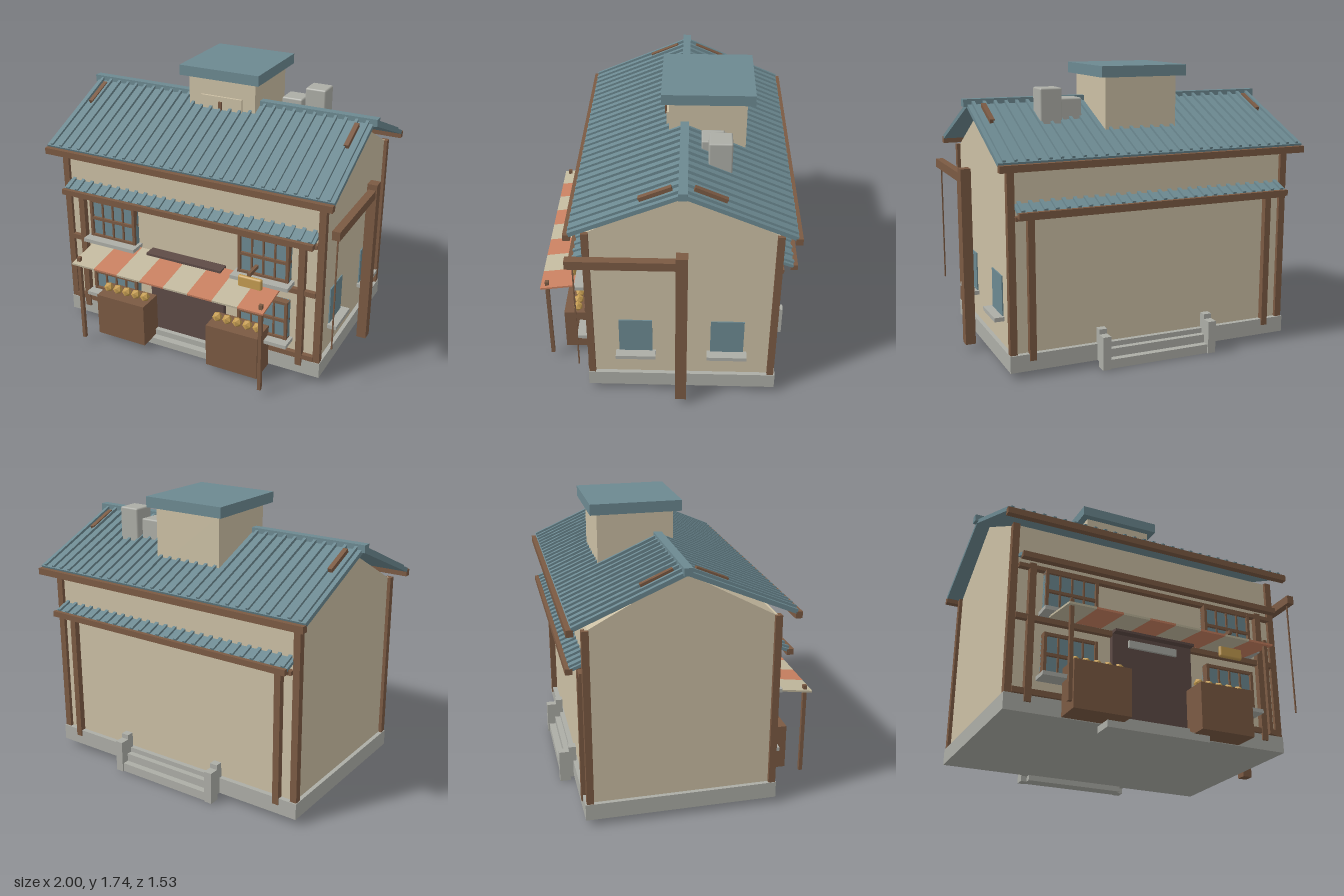
import * as THREE from 'three';
import { RoundedBoxGeometry } from 'three/addons/geometries/RoundedBoxGeometry.js';

const paint = (name, color) => {
  const m = new THREE.MeshStandardMaterial({ color });
  m.name = name;
  return m;
};

export function createModel() {
  const wall = paint('plaster', 0xcbbfa4);
  const wood = paint('wood', 0x7b5a43);
  const blue = paint('slateBlue', 0x6c8991);
  const stone = paint('stone', 0xacada6);
  const dark = paint('doorBrown', 0x5e4b46);
  const cream = paint('awningCream', 0xc2b99e);
  const coral = paint('awningCoral', 0xc88060);
  const gold = paint('gold', 0xc39b50);

  const model = new THREE.Group();
  model.name = 'shopHouse';
  const CX = -0.02, CZ = -0.105; // centre of the house

  const add = (name, geo, mat, parent = model) => {
    const mesh = new THREE.Mesh(geo, mat);
    mesh.name = name;
    parent.add(mesh);
    return mesh;
  };
  // Box given by its limits on each axis
  const box = (name, mat, x0, x1, y0, y1, z0, z1, parent = model) => {
    const mesh = add(name, new THREE.BoxGeometry(x1 - x0, y1 - y0, z1 - z0), mat, parent);
    mesh.position.set((x0 + x1) / 2, (y0 + y1) / 2, (z0 + z1) / 2);
    return mesh;
  };
  // Bar of width w and thickness t between two points of the y-z plane
  const slope = (name, mat, x, w, t, ya, za, yb, zb, parent = model) => {
    const mesh = add(name, new THREE.BoxGeometry(w, t, Math.hypot(yb - ya, zb - za)), mat, parent);
    mesh.position.set(x, (ya + yb) / 2, (za + zb) / 2);
    mesh.rotation.x = Math.atan2(ya - yb, zb - za);
    return mesh;
  };
  const group = (name) => {
    const g = new THREE.Group();
    g.name = name;
    model.add(g);
    return g;
  };

  // Foundation and walls
  box('foundation', stone, -0.92, 0.88, 0.04, 0.14, -0.68, 0.465);
  box('walls', wall, -0.895, 0.855, 0.13, 1.2, -0.65, 0.44);
  const gable = new THREE.Shape([[-0.53, 0], [0.53, 0], [0, 0.285]].map(p => new THREE.Vector2(...p)));
  const gables = add('gables', new THREE.ExtrudeGeometry(gable, { depth: 1.75, bevelEnabled: false }), wall);
  gables.rotation.y = Math.PI / 2;
  gables.position.set(-0.895, 1.2, CZ);

  // Front and back halves: posts, main roof and lower eave
  for (const s of [1, -1]) {
    const z = d => CZ + s * d;
    const side = s > 0 ? 'front' : 'back';
    const bar = (name, x0, x1, y0, y1, a, b, parent) =>
      box(name, wood, x0, x1, y0, y1, Math.min(z(a), z(b)), Math.max(z(a), z(b)), parent);

    const frame = group(side + 'Timber');
    for (const m of [-1, 1]) {
      const xc = CX + m * 0.875, xi = CX + m * 0.765;
      bar('cornerPost', xc - 0.021, xc + 0.021, 0.14, 1.2, 0.525, 0.566, frame);
      bar('eavePost', xi - 0.02, xi + 0.02, 0.1, 0.95, 0.545, 0.582, frame);
    }
    bar('eaveHeader', -0.87, 0.835, 0.915, 0.94, 0.545, 0.58, frame);
    bar('eaveFascia', -0.875, 0.835, 0.94, 0.975, 0.615, 0.655, frame);
    bar('roofFascia', -0.98, 0.94, 1.2, 1.24, 0.615, 0.655, frame);

    const roof = group(side + 'Roof');
    slope('roofSlab', blue, CX, 1.92, 0.026, 1.505, CZ, 1.24, z(0.625), roof);
    for (let i = 0; i < 29; i++)
      slope('roofRib', blue, -0.945 + i * 0.0661, 0.018, 0.024, 1.526, CZ, 1.255, z(0.625), roof);
    const eave = group(side + 'Eave');
    slope('eaveSlab', blue, CX, 1.71, 0.018, 1.0, z(0.54), 0.965, z(0.63), eave);
    for (let i = 0; i < 26; i++)
      slope('eaveRib', blue, -0.846 + i * 0.0661, 0.022, 0.024, 1.012, z(0.54), 0.975, z(0.63), eave);

    // Short timbers lying on the roof near its ends
    for (const x of [-0.9, 0.855])
      slope('roofTimber', wood, x, 0.028, 0.03, 1.504, z(0.06), 1.427, z(0.24), roof);
  }
  box('ridge', blue, -1.0, 0.965, 1.495, 1.54, -0.13, -0.08);

  // Rooftop tower
  box('tower', wall, -0.245, 0.21, 1.3, 1.67, -0.47, -0.01);
  box('towerCap', blue, -0.29, 0.25, 1.67, 1.735, -0.515, 0.035);
  box('towerPanel', wall, -0.16, 0.125, 1.455, 1.555, -0.01, 0.005);
  box('towerLatch', wood, -0.03, -0.01, 1.455, 1.525, 0.003, 0.02);

  // Roof units
  const units = [[0.51, -0.31, 1.61], [0.373, -0.27, 1.545]];
  for (const [x, z, top] of units)
    add('roofUnit', new RoundedBoxGeometry(0.135, 0.24, 0.135, 1, 0.01), stone).position.set(x, top - 0.12, z);

  // Front beams
  box('middleBeam', wood, -0.875, 0.835, 0.59, 0.622, 0.44, 0.47);
  for (const [a, b] of [[-0.875, -0.28], [0.24, 0.835]]) box('sillBeam', wood, a, b, 0.145, 0.178, 0.44, 0.47);

  // Front windows with frames, bars and ledges
  for (const x of [-0.545, 0.505]) for (const y of [0.26, 0.655]) {
    const win = group('frontWindow');
    const w = 0.165, h = 0.263;
    box('pane', blue, x - w, x + w, y, y + h, 0.44, 0.474, win);
    for (const m of [-1, 1])
      box('frameSide', wood, x + m * 0.156 - 0.009, x + m * 0.156 + 0.009, y, y + h, 0.44, 0.492, win);
    for (const d of [0, h / 2 - 0.009, h - 0.018])
      box('frameBar', wood, x - w, x + w, y + d, y + d + 0.018, 0.44, 0.49, win);
    for (const d of [-0.075, 0, 0.075])
      box('windowBar', wood, x + d - 0.005, x + d + 0.005, y, y + h, 0.44, 0.486, win);
    box('ledge', stone, x - 0.187, x + 0.187, y - 0.02, y + 0.004, 0.44, 0.55, win);
  }

  // Side windows
  for (const z of [0.17, -0.378]) {
    box('sidePane', blue, 0.854, 0.862, 0.3, 0.555, z - 0.1, z + 0.1);
    box('sideLedge', stone, 0.85, 0.915, 0.29, 0.315, z - 0.12, z + 0.12);
  }

  // Door and front steps
  box('door', dark, -0.28, 0.24, 0.08, 0.62, 0.44, 0.474);
  box('doorLintel', dark, -0.28, 0.24, 0.605, 0.647, 0.44, 0.52);
  box('doorPlate', stone, -0.18, 0.135, 0.53, 0.575, 0.472, 0.49);
  box('lowerStep', stone, -0.345, 0.305, 0, 0.045, 0.42, 0.55);
  box('upperStep', stone, -0.28, 0.24, 0.045, 0.083, 0.42, 0.505);

  // Back steps with side blocks
  box('backLowerStep', stone, -0.35, 0.31, 0.005, 0.06, -0.755, -0.66);
  box('backUpperStep', stone, -0.35, 0.31, 0.06, 0.11, -0.715, -0.66);
  for (const x of [-0.365, 0.325]) {
    box('stepBlock', stone, x - 0.025, x + 0.025, 0.005, 0.205, -0.765, -0.7);
    box('stepPost', stone, x - 0.025, x + 0.025, 0.04, 0.235, -0.705, -0.66);
  }

  // Striped awning on two poles
  const awning = group('awning');
  const sw = 1.31 / 8;
  for (let i = 0; i < 8; i++)
    slope('awningStripe', i % 2 ? coral : cream, -0.675 + (i + 0.5) * sw, sw, 0.012, 0.634, 0.46, 0.59, 0.765, awning);
  for (const x of [-0.645, 0.605]) box('awningPole', wood, x - 0.011, x + 0.011, 0.04, 0.628, 0.715, 0.738, awning);

  // Market stands with fruit
  for (const x of [-0.415, 0.375]) {
    const stand = group('marketStand');
    box('standBox', wood, x - 0.173, x + 0.173, 0.04, 0.325, 0.475, 0.645, stand);
    for (let i = 0; i < 5; i++) {
      const fruit = add('fruit', new THREE.IcosahedronGeometry(0.032, 0), gold, stand);
      fruit.position.set(x + (i - 2) * 0.068, 0.348, 0.56);
    }
  }

  // Hanging sign board
  add('signBoard', new RoundedBoxGeometry(0.155, 0.145, 0.028, 2, 0.012), gold).position.set(0.462, 0.618, 0.568);
  box('signBracket', wood, 0.452, 0.472, 0.705, 0.727, 0.46, 0.59);

  // Side pillar with arm and hanging rod
  box('pillar', wood, 0.935, 0.997, 0.04, 1.13, -0.138, -0.07);
  box('pillarArm', wood, 0.943, 0.99, 1.04, 1.095, -0.1, 0.547);
  box('hangingRod', wood, 0.961, 0.969, 0.3, 1.045, 0.5, 0.508);

  return model;
}
